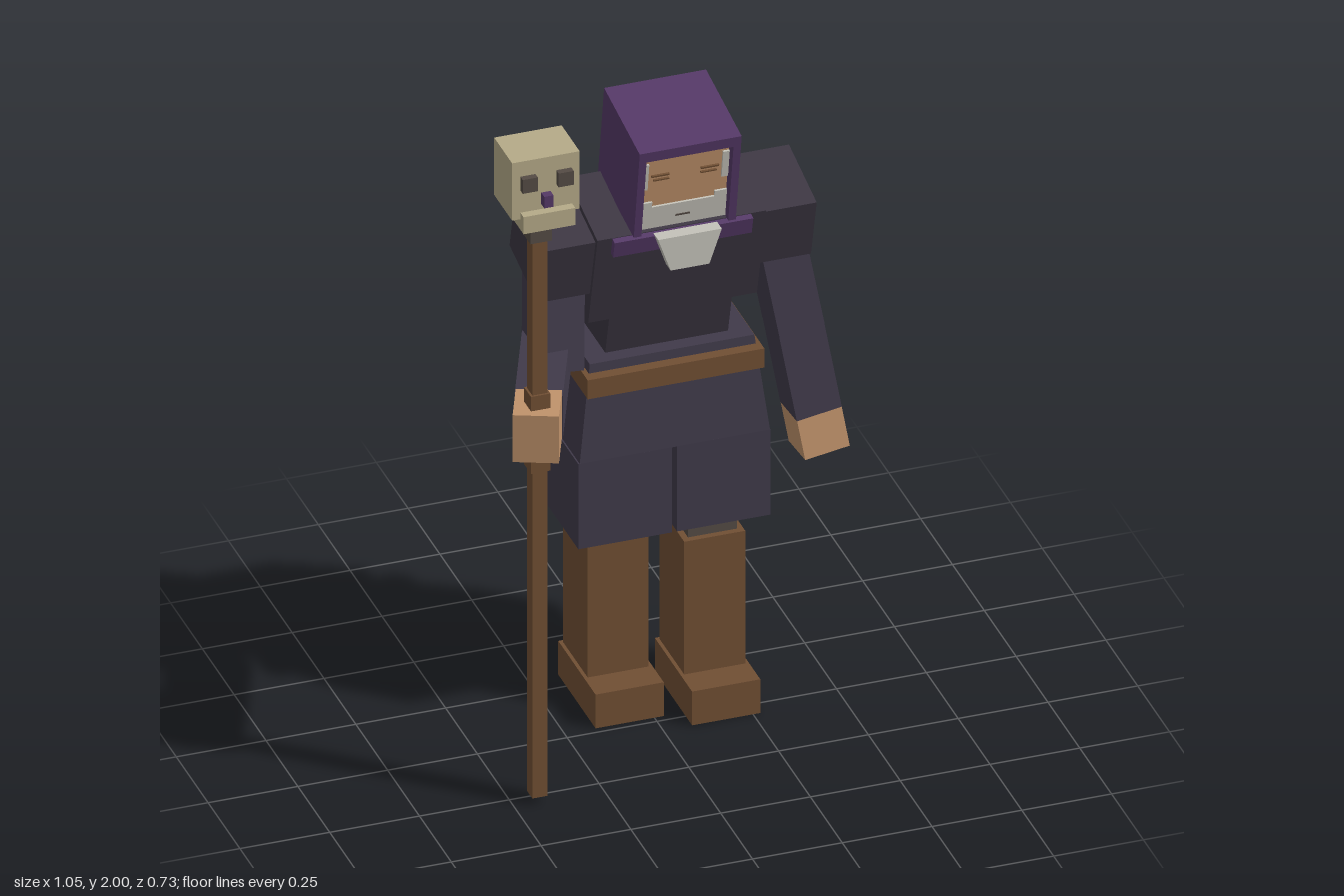
import * as THREE from 'three';

const mat = (name, color) => {
  const m = new THREE.MeshStandardMaterial({ color });
  m.name = name;
  return m;
};

export function createModel() {
  const cloth = mat('dark cloth', 0x3b3541);
  const robe = mat('robe', 0x403a4a);
  const purple = mat('purple', 0x543866);
  const leather = mat('brown leather and wood', 0x704f33);
  const skin = mat('skin', 0xc0926b);
  const bone = mat('bone', 0xb5aa88);
  const grey = mat('grey brown', 0x544b44);
  const white = mat('white hair', 0xc4c2b9);

  const model = new THREE.Group();
  model.name = 'robedFigure';
  const CX = 0.052; // the body stands a little to the left of the staff

  const add = (parent, name, geo, m, x = 0, y = 0, z = 0) => {
    const mesh = new THREE.Mesh(geo, m);
    mesh.name = name;
    mesh.position.set(x, y, z);
    parent.add(mesh);
    return mesh;
  };
  // Box given by its limits on each axis
  const span = (parent, name, m, [x0, x1], [y0, y1], [z0, z1]) =>
    add(parent, name, new THREE.BoxGeometry(x1 - x0, y1 - y0, z1 - z0), m,
      (x0 + x1) / 2, (y0 + y1) / 2, (z0 + z1) / 2);
  // Box whose top is scaled by sx, sz
  const taper = (w, h, d, sx, sz) => {
    const g = new THREE.BoxGeometry(w, h, d).toNonIndexed();
    const p = g.attributes.position;
    for (let i = 0; i < p.count; i++)
      if (p.getY(i) > 0) p.setXYZ(i, p.getX(i) * sx, p.getY(i), p.getZ(i) * sz);
    g.computeVertexNormals();
    return g;
  };
  const group = (name, x, y, z, tilt = 0) => {
    const g = new THREE.Group();
    g.name = name;
    g.position.set(x, y, z);
    g.rotation.x = tilt;
    model.add(g);
    return g;
  };
  // Hanging limb segment between two points
  const limb = (name, m, a, b, w, d) => {
    const va = new THREE.Vector3(...a), vb = new THREE.Vector3(...b);
    const dir = vb.clone().sub(va);
    const mesh = add(model, name, new THREE.BoxGeometry(w, dir.length(), d), m);
    mesh.position.copy(va).add(vb).multiplyScalar(0.5);
    mesh.quaternion.setFromUnitVectors(new THREE.Vector3(0, -1, 0), dir.normalize());
    return mesh;
  };

  // Legs: the left one is a step forward
  for (const [side, x, dz] of [['left', 0.175, 0], ['right', -0.069, -0.07]]) {
    span(model, side + 'Foot', leather, [x - 0.095, x + 0.095], [0, 0.103], [-0.243 + dz, 0.05 + dz]);
    span(model, side + 'Boot', leather, [x - 0.085, x + 0.085], [0.1, 0.508], [-0.233 + dz, -0.04 + dz]);
    span(model, side + 'Shin', grey, [x - 0.068, x + 0.068], [0.5, 0.6], [-0.213 + dz, -0.058 + dz]);
  }

  // Skirt and belt
  span(model, 'rightSkirtPanel', robe, [-0.217, 0.044], [0.565, 0.825], [-0.348, -0.006]);
  span(model, 'leftSkirtPanel', robe, [0.058, 0.318], [0.565, 0.825], [-0.348, -0.006]);
  add(model, 'skirt', taper(0.53, 0.285, 0.342, 0.865, 0.87), robe, CX, 0.967, -0.177);
  span(model, 'belt', leather, [-0.195, 0.297], [1.025, 1.083], [-0.358, 0.006]);

  // Leaning torso
  const torso = group('torso', CX, 1.415, -0.108, 0.245);
  add(torso, 'chest', new THREE.BoxGeometry(0.47, 0.3, 0.248), cloth);
  add(torso, 'waist', new THREE.BoxGeometry(0.342, 0.2, 0.22), cloth, 0, -0.235, 0);
  add(torso, 'collar', new THREE.BoxGeometry(0.386, 0.052, 0.05), purple, 0, 0.122, 0.117);
  for (const s of [-1, 1])
    add(torso, s > 0 ? 'leftShoulder' : 'rightShoulder',
      new THREE.BoxGeometry(0.15, 0.187, 0.225), cloth, s * 0.306, 0.04, 0);

  // Short cape on the back
  const cape = group('cape', CX, 1.348, -0.297, 0.245);
  add(cape, 'capePanel', taper(0.46, 0.388, 0.04, 1.11, 1), purple);

  // Left arm hanging down
  limb('leftUpperArm', robe, [0.35, 1.43, -0.1], [0.402, 1.11, -0.062], 0.127, 0.14);
  limb('leftForearm', robe, [0.402, 1.11, -0.062], [0.441, 0.862, -0.034], 0.127, 0.135);
  limb('leftHand', skin, [0.441, 0.864, -0.034], [0.459, 0.747, -0.02], 0.126, 0.134);

  // Right arm bent forward to the staff
  limb('rightUpperArm', robe, [-0.252, 1.43, -0.1], [-0.274, 1.12, -0.045], 0.125, 0.14);
  const reach = group('rightForearmGroup', -0.275, 1.127, -0.095);
  reach.rotation.y = -0.4;
  add(reach, 'rightForearm', new THREE.BoxGeometry(0.127, 0.132, 0.33), robe, 0, 0, 0.165);
  add(reach, 'rightHand', new THREE.BoxGeometry(0.122, 0.143, 0.136), skin, 0, 0.008, 0.391);

  // Staff with a skull on top
  const SX = -0.431, SZ = 0.275;
  const staff = group('staff', SX, 0, SZ);
  add(staff, 'shaft', new THREE.BoxGeometry(0.042, 1.72, 0.042), leather, 0, 0.88, 0);
  add(staff, 'grip', new THREE.BoxGeometry(0.054, 0.235, 0.054), leather, 0, 1.133, 0);
  add(staff, 'staffCollar', new THREE.BoxGeometry(0.06, 0.085, 0.062), grey, 0, 1.762, 0);
  span(staff, 'skull', bone, [-0.094, 0.094], [1.825, 2], [-0.073, 0.068]);
  span(staff, 'jaw', bone, [-0.071, 0.073], [1.793, 1.845], [-0.034, 0.093]);
  for (const s of [-1, 1])
    span(staff, 'skullEye', grey, [s * 0.05 - 0.021, s * 0.05 + 0.021], [1.913, 1.955], [0.06, 0.087]);
  span(staff, 'skullNose', purple, [-0.013, 0.013], [1.86, 1.895], [0.06, 0.092]);

  // Hood, open at the front
  const head = group('head', CX, 1.698, -0.045, 0.165);
  const H = 0.142;
  span(head, 'hoodTop', purple, [-H, H], [0.11, H], [-H, H]);
  span(head, 'hoodBack', purple, [-H, H], [-H, 0.11], [-H, -0.11]);
  for (const s of [-1, 1])
    add(head, 'hoodSide', new THREE.BoxGeometry(0.021, H + 0.11, H + 0.11), purple,
      s * 0.1315, (0.11 - H) / 2, (H - 0.11) / 2);

  // Face with white hair
  const F = 0.112;
  span(head, 'face', skin, [-0.121, 0.121], [-0.141, 0.11], [-0.11, F]);
  span(head, 'lowerBeard', white, [-0.121, 0.121], [-0.141, -0.07], [F, F + 0.006]);
  for (const s of [-1, 1]) {
    const plate = (name, m, x, y, w, h) =>
      add(head, name, new THREE.BoxGeometry(w, h, 0.006), m, s * x, y, F + 0.003);
    plate('cheekBeard', white, 0.104, -0.062, 0.034, 0.018);
    plate('sideburn', white, 0.112, 0.035, 0.018, 0.085);
    plate('brow', leather, 0.069, 0.034, 0.05, 0.005);
    plate('eyelid', leather, 0.066, 0.02, 0.044, 0.004);
  }
  span(head, 'mouth', grey, [-0.02, 0.02], [-0.112, -0.107], [F + 0.004, F + 0.008]);

  // Beard tip, narrowing downwards
  add(model, 'beardTip', taper(0.108, 0.1, 0.038, 1.64, 1), white, CX, 1.49, 0.094);

  return model;
}
